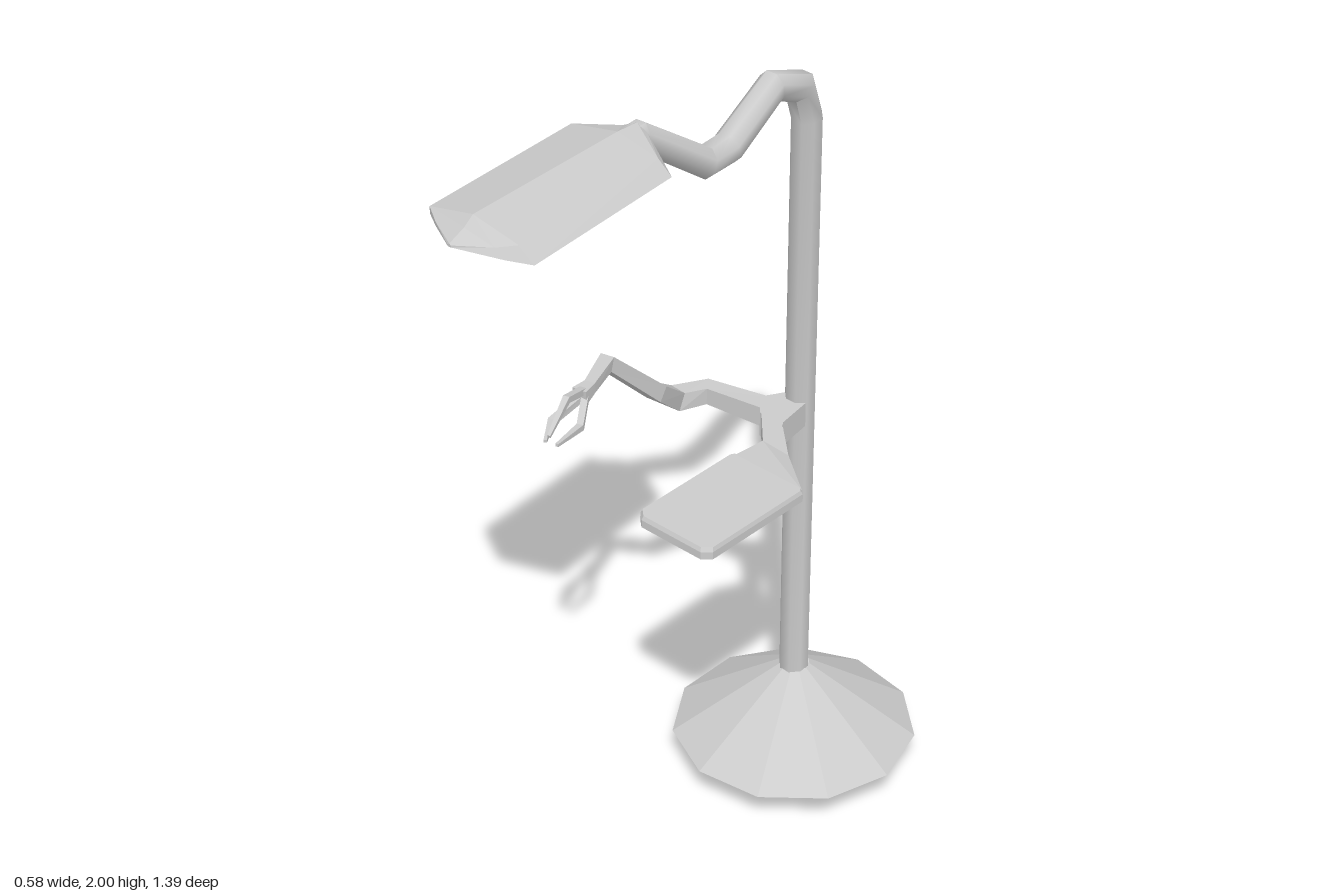
import * as THREE from 'three';
import { toCreasedNormals } from 'three/addons/utils/BufferGeometryUtils.js';

const V = (x, y, z) => new THREE.Vector3(x, y, z);
const flat = new THREE.MeshStandardMaterial({ color: 0xcccccc, flatShading: true });
const smooth = new THREE.MeshStandardMaterial({ color: 0xcccccc });

// Closed solid through rings of points, counter-clockwise about the direction of travel
function loft(rings) {
  const n = rings[0].length, last = rings.length - 1;
  const pos = [], idx = [];
  rings.flat().forEach(p => pos.push(p.x, p.y, p.z));
  for (let k = 0; k < last; k++) {
    for (let i = 0; i < n; i++) {
      const a = k * n + i, b = k * n + (i + 1) % n;
      idx.push(a, b, a + n, b, b + n, a + n);
    }
  }
  [0, last].forEach(k => {
    const c = rings[k].reduce((s, p) => s.add(p), V(0, 0, 0)).divideScalar(n);
    const ci = pos.length / 3;
    pos.push(c.x, c.y, c.z);
    for (let i = 0; i < n; i++) {
      const a = k * n + i, b = k * n + (i + 1) % n;
      if (k === 0) idx.push(ci, b, a); else idx.push(ci, a, b);
    }
  });
  const g = new THREE.BufferGeometry();
  g.setAttribute('position', new THREE.Float32BufferAttribute(pos, 3));
  g.setIndex(idx);
  g.computeVertexNormals();
  return g;
}

// Bar swept along points [x, y, z, radius] with mitred bends
function sweep(path, sides, ref) {
  const pts = path.map(p => V(p[0], p[1], p[2]));
  return loft(pts.map((p, k) => {
    const into = p.clone().sub(pts[Math.max(k - 1, 0)]).normalize();
    const out = pts[Math.min(k + 1, pts.length - 1)].clone().sub(p).normalize();
    const d = into.add(out).normalize();
    const u = ref.clone().addScaledVector(d, -ref.dot(d)).normalize();
    const v = d.clone().cross(u);
    return Array.from({ length: sides }, (_, i) => {
      const a = (i + 0.5) / sides * Math.PI * 2, r = path[k][3];
      return p.clone().addScaledVector(u, Math.cos(a) * r).addScaledVector(v, Math.sin(a) * r);
    });
  }));
}

// Rectangular section across z
const rect = (x0, x1, y0, y1, z0, z1 = z0) => [V(x1, y0, z1), V(x1, y1, z1), V(x0, y1, z0), V(x0, y0, z0)];

export function createModel() {
  const model = new THREE.Group();
  const add = (parent, name, geo, mat = flat) => {
    const m = new THREE.Mesh(geo, mat);
    m.name = name;
    parent.add(m);
    return m;
  };

  // Eleven-sided double-cone foot
  const foot = [[0, 0], [0.297, 0.1], [0.035, 0.287]].map(p => new THREE.Vector2(...p));
  add(model, 'base', new THREE.LatheGeometry(foot, 11, Math.PI / 2)).position.z = -0.405;

  // Post bending over into the lamp neck
  const post = sweep([
    [0, 0.27, -0.4, 0.036], [0, 1.78, -0.4, 0.036], [0, 1.863, -0.373, 0.038],
    [0, 1.898, -0.285, 0.036], [0.005, 1.812, -0.14, 0.037], [0.01, 1.812, -0.06, 0.037],
    [0.02, 1.965, 0.15, 0.033], [0.022, 1.972, 0.2, 0.022],
  ], 8, V(1, 0, 0));
  add(model, 'postAndNeck', toCreasedNormals(post, 0.9), smooth);

  // Lamp head: thin ridged shell, hollow underneath; [z, left, right, ridge x, edge y, ridge y, underside y]
  const headRows = [
    [0.15, -0.02, 0.058, 0.02, 1.962, 1.995, 1.945],
    [0.207, -0.11, 0.168, 0.02, 1.95, 1.997, 1.968],
    [0.63, -0.082, 0.205, 0.04, 1.95, 1.997, 1.972],
    [0.655, -0.04, 0.15, 0.04, 1.95, 1.978, 1.96],
    [0.695, 0.035, 0.045, 0.04, 1.953, 1.96, 1.952],
  ];
  add(model, 'lampHead', loft(headRows.map(([z, l, r, c, e, t, b]) => [
    V(r, e, z), V(c + (r - c) * 0.75, e + (t - e) * 0.6, z), V(c, t, z),
    V(l, e + (t - e) * 0.35, z), V(l, e, z), V(c, b, z),
  ])));

  // Bracket on the post carrying the tray and the arm
  const bracket = new THREE.Group();
  bracket.name = 'bracket';
  model.add(bracket);
  add(bracket, 'hub', loft([
    rect(-0.03, 0.03, 0.997, 1.06, -0.39),
    rect(-0.062, 0.045, 0.997, 1.06, -0.335, -0.29),
    rect(-0.02, 0.06, 0.997, 1.06, -0.285, -0.27),
  ]));
  add(bracket, 'trayArm', loft([
    rect(-0.02, 0.058, 0.997, 1.06, -0.29, -0.275),
    rect(0.06, 0.14, 0.997, 1.06, -0.205, -0.2),
    rect(0.005, 0.205, 0.985, 1.012, -0.172),
  ]));

  // Tray with clipped corners
  const outline = [[0, -0.18], [0.1, -0.205], [0.2, -0.18], [0.21, -0.17],
    [0.21, 0.125], [0.19, 0.143], [0.015, 0.143], [-0.005, 0.125], [-0.005, -0.17]];
  const level = (y, s) => outline.map(([x, z]) => V(0.1 + (x - 0.1) * s, y, z * s)).reverse();
  add(model, 'tray', loft([level(0.985, 1), level(1.004, 1), level(1.014, 0.97)]));

  // Jointed square arm
  const arm = new THREE.Group();
  arm.name = 'arm';
  model.add(arm);
  add(arm, 'armBar', sweep([
    [-0.03, 1.028, -0.335, 0.036], [-0.2, 1.025, -0.307, 0.03], [-0.232, 1.028, -0.233, 0.032],
    [-0.19, 1.117, -0.125, 0.027], [-0.19, 1.272, 0.035, 0.024],
    [-0.152, 1.27, 0.125, 0.018], [-0.145, 1.267, 0.165, 0.025],
  ], 4, V(0, 1, 0)));

  // Three curled fingers
  const fingers = [
    [[-0.145, 1.277, 0.155], [-0.125, 1.298, 0.225], [-0.09, 1.262, 0.315]],
    [[-0.15, 1.258, 0.155], [-0.152, 1.238, 0.245], [-0.112, 1.235, 0.305]],
    [[-0.138, 1.26, 0.155], [-0.1, 1.23, 0.21], [-0.082, 1.236, 0.3]],
  ];
  fingers.forEach(f => add(arm, 'finger',
    sweep(f.map((p, i) => [...p, [0.011, 0.011, 0.005][i]]), 4, V(0, 1, 0))));

  return model;
}
